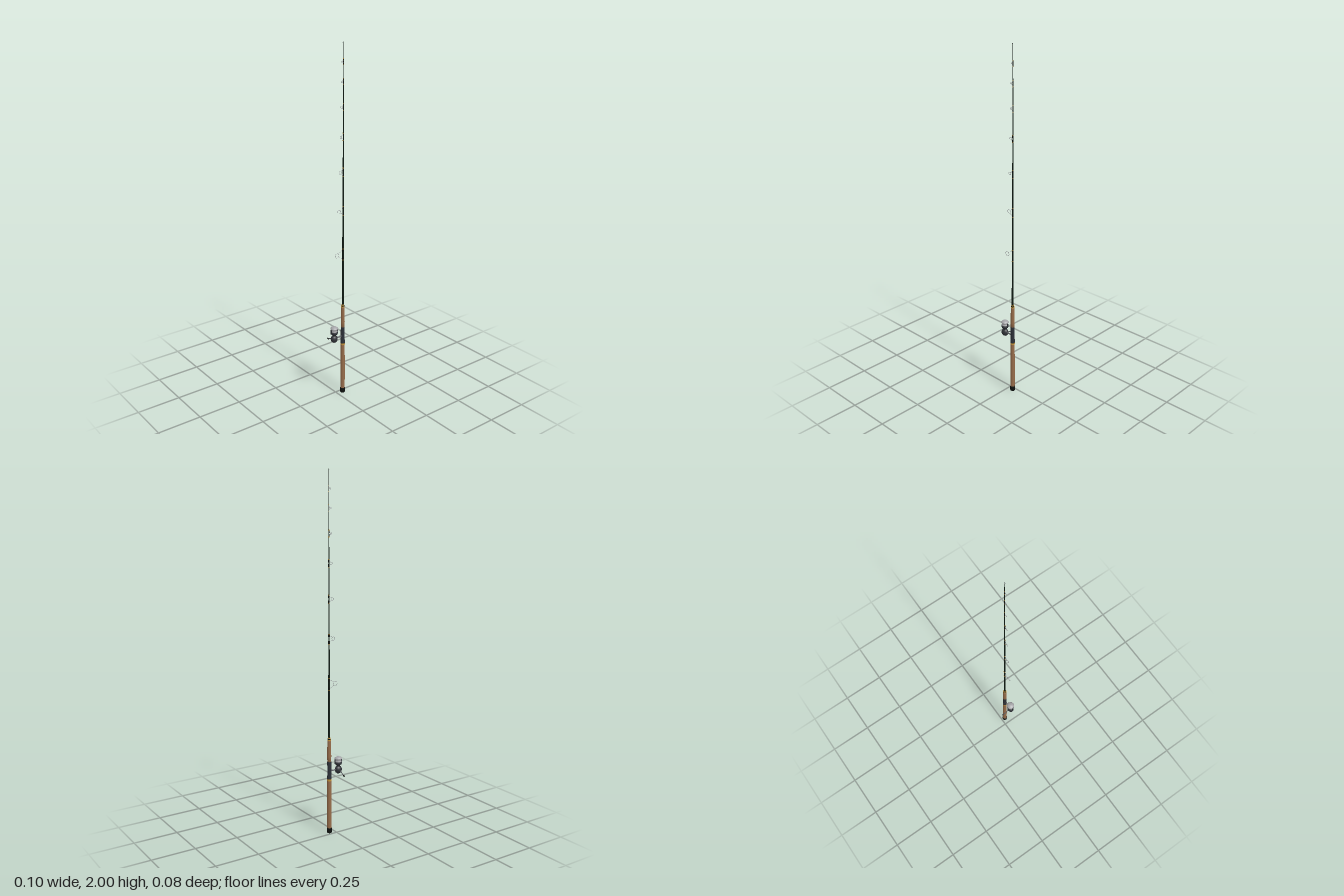
import * as THREE from 'three';

const mat = (name, color) => {
  const m = new THREE.MeshStandardMaterial({ color, side: THREE.DoubleSide });
  m.name = name;
  return m;
};

export function createModel() {
  const cork = mat('cork brown', 0x966c4a);
  const black = mat('black', 0x0e120f);
  const blankMat = mat('dark green blank', 0x0e1a12);
  const slate = mat('slate', 0x2d3138);
  const graphite = mat('graphite', 0x303338);
  const silver = mat('silver', 0xa6a6a9);
  const gold = mat('gold', 0xc4933a);
  const steel = mat('guide steel', 0x96989c);
  const grey = mat('metal grey', 0x5c5f64);

  const model = new THREE.Group();
  model.name = 'fishingRod';
  const rod = new THREE.Group();
  rod.name = 'rod';
  rod.position.set(0.0353, 0, 0.021);
  const reel = new THREE.Group();
  reel.name = 'reel';
  reel.position.set(-0.0253, 0, 0.021);
  model.add(rod, reel);

  const add = (parent, name, geo, material) => {
    const m = new THREE.Mesh(geo, material);
    m.name = name;
    parent.add(m);
    return m;
  };
  // Turned part from [radius, height] pairs
  const turned = (parent, name, pts, material, seg = 24) =>
    add(parent, name, new THREE.LatheGeometry(pts.map(p => new THREE.Vector2(...p)), seg), material);
  // Round wire through points
  const wire = (parent, name, pts, r, material, seg = 12) =>
    add(parent, name, new THREE.TubeGeometry(
      new THREE.CatmullRomCurve3(pts.map(p => new THREE.Vector3(...p))), seg, r, 8), material);
  // Plain band around the rod
  const band = (name, y0, y1, r, material) => {
    const m = add(rod, name, new THREE.CylinderGeometry(r, r, y1 - y0, 24), material);
    m.position.y = (y0 + y1) / 2;
  };

  // Handle
  turned(rod, 'buttCap', [[0, 0], [0.0118, 0], [0.014, 0.003], [0.014, 0.026], [0.013, 0.03], [0, 0.03]], black);
  turned(rod, 'rearGrip', [[0.0125, 0.03], [0.0128, 0.1], [0.0125, 0.2], [0.0118, 0.27], [0.0115, 0.31]], cork);
  band('rearTrimRing', 0.309, 0.319, 0.0124, gold);
  band('rearHood', 0.319, 0.338, 0.0124, slate);
  band('reelSeat', 0.338, 0.4, 0.0102, slate);
  band('lockingNut', 0.398, 0.42, 0.0112, slate);
  turned(rod, 'foreGrip', [[0, 0.42], [0.0108, 0.42], [0.0113, 0.45], [0.0109, 0.5], [0.0102, 0.538], [0.0098, 0.544], [0, 0.544]], cork);
  band('foreTrimRing', 0.543, 0.548, 0.0104, gold);
  band('windingCheck', 0.547, 0.553, 0.0084, black);
  band('checkTrim', 0.553, 0.559, 0.0066, gold);

  // Tapered blank
  const blankRadius = y => THREE.MathUtils.lerp(0.0056, 0.0011, (y - 0.55) / 1.45);
  turned(rod, 'blank', [[blankRadius(0.55), 0.55], [blankRadius(1.2), 1.2], [0.0011, 1.999], [0, 1.999]], blankMat, 16);

  // Line guides: [height, ring radius, distance of ring from rod]
  const guides = [
    [0.86, 0.0125, 0.040], [1.11, 0.0095, 0.028], [1.325, 0.0075, 0.021],
    [1.515, 0.006, 0.016], [1.67, 0.005, 0.013], [1.8, 0.0042, 0.011], [1.9, 0.0036, 0.009],
  ];
  for (const [y, r, d] of guides) {
    const guide = new THREE.Group();
    guide.name = 'lineGuide';
    guide.position.y = y;
    rod.add(guide);
    const ring = add(guide, 'guideRing', new THREE.TorusGeometry(r, 0.0009, 8, 24), steel);
    ring.position.x = -d;
    const b = blankRadius(y);
    for (const s of [1, -1]) {
      const foot = s * r * 1.9;
      wire(guide, 'guideLeg', [[-d + r * 0.6, s * r * 0.8, 0], [-b, foot, 0]], 0.0007, steel, 2);
      band('threadWrap', y + foot - 0.007, y + foot + 0.007, b + 0.0006, black);
      band('wrapTrim', y + foot + s * 0.0085 - 0.0015, y + foot + s * 0.0085 + 0.0015, b + 0.0008, gold);
    }
  }
  add(rod, 'tipRing', new THREE.TorusGeometry(0.0024, 0.0006, 8, 20), steel).position.set(-0.003, 1.996, 0);

  // Reel body, stem and foot
  const body = add(reel, 'reelBody', new THREE.SphereGeometry(0.021, 24, 16), graphite);
  body.position.y = 0.363;
  body.scale.set(1, 1.1, 0.85);
  wire(reel, 'reelStem', [[0.012, 0.364, 0], [0.035, 0.365, 0], [0.052, 0.365, 0]], 0.0042, grey);
  add(reel, 'reelFoot', new THREE.BoxGeometry(0.005, 0.075, 0.008), graphite).position.set(0.051, 0.366, 0);

  // Rotor and spool
  turned(reel, 'rotor', [[0, 0.38], [0.01, 0.38], [0.011, 0.391], [0.018, 0.394], [0.0203, 0.4], [0.0203, 0.409], [0, 0.411]], graphite, 32);
  turned(reel, 'spool', [[0, 0.409], [0.0185, 0.409], [0.0185, 0.412], [0.015, 0.413], [0.015, 0.424],
    [0.0217, 0.426], [0.0217, 0.428], [0.019, 0.432], [0.014, 0.4355], [0.007, 0.438], [0, 0.439]], silver, 32);
  // Bail arms and wire
  for (const s of [1, -1])
    add(reel, 'bailArm', new THREE.BoxGeometry(0.003, 0.028, 0.006), graphite).position.set(s * 0.0212, 0.411, 0);
  wire(reel, 'bailWire', [[-0.0215, 0.424, 0], [-0.016, 0.427, 0.0145], [0, 0.428, 0.0195], [0.016, 0.427, 0.0145], [0.0215, 0.424, 0]], 0.001, steel, 24);

  // Crank
  wire(reel, 'crankArm', [[0, 0.361, -0.014], [0, 0.353, -0.032], [0, 0.343, -0.051]], 0.0024, grey);
  const knob = add(reel, 'crankKnob', new THREE.CylinderGeometry(0.0036, 0.003, 0.013, 16), black);
  knob.position.set(0, 0.341, -0.0565);
  knob.rotation.x = Math.PI / 2;

  return model;
}
